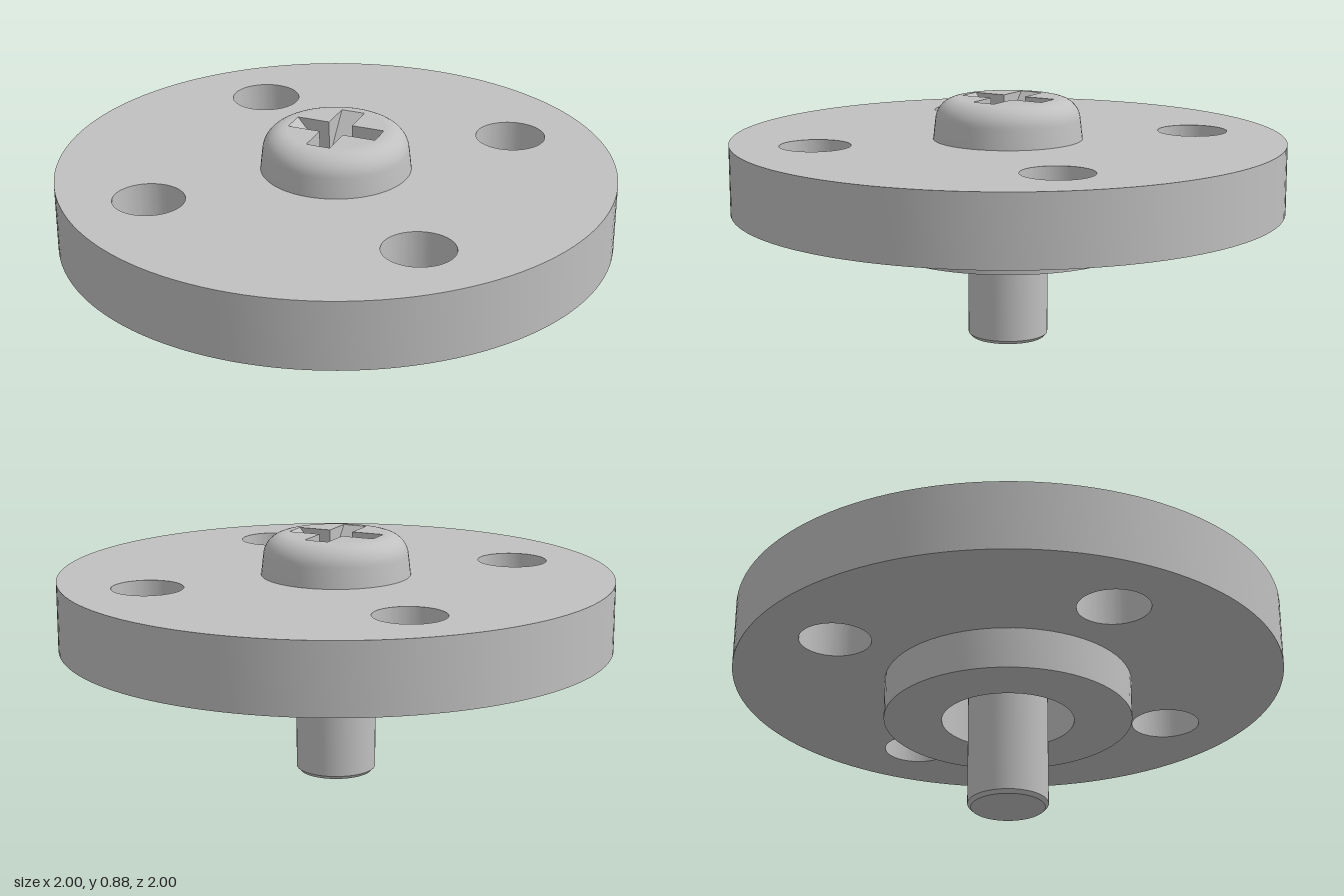
import * as THREE from 'three';
import { toCreasedNormals } from 'three/addons/utils/BufferGeometryUtils.js';

const SEG = 64;
const PLATE_BOTTOM = 0.485, PLATE_TOP = 0.735, HEAD_TOP = 0.883;
const BORE = 0.24;

// Smooth round walls, sharp rims
const crease = (geometry) => toCreasedNormals(geometry, 0.5);

const lathe = (points) =>
  crease(new THREE.LatheGeometry(points.map(([r, y]) => new THREE.Vector2(r, y)), SEG));

const circle = (Type, x, y, r) => new Type().absarc(x, y, r, 0, Math.PI * 2, false);

// Cross-shaped outline of the drive recess
function crossPath(L, w) {
  return new THREE.Path([
    [L, -w], [L, w], [w, w], [w, L], [-w, L], [-w, w],
    [-L, w], [-L, -w], [-w, -w], [-w, -L], [w, -L], [w, -w],
  ].map(([x, y]) => new THREE.Vector2(x, y)));
}

// Four arms with floors sloping down to a flat centre
function recessGeometry(L, w, top, floor) {
  const A = [L, top, -w], B = [L, top, w], C = [w, floor, w], D = [w, floor, -w];
  const E = [w, top, w], F = [w, top, -w], O = [0, floor, 0];
  const arm = [A, D, C, A, C, B, B, C, E, A, F, D, O, C, D];
  const positions = [];
  const v = new THREE.Vector3(), up = new THREE.Vector3(0, 1, 0);
  for (let i = 0; i < 4; i++) {
    for (const p of arm) {
      v.fromArray(p).applyAxisAngle(up, i * Math.PI / 2);
      positions.push(v.x, v.y, v.z);
    }
  }
  const geometry = new THREE.BufferGeometry();
  geometry.setAttribute('position', new THREE.Float32BufferAttribute(positions, 3));
  geometry.computeVertexNormals();
  return geometry;
}

export function createModel() {
  const group = new THREE.Group();
  group.name = 'flangeWithScrew';
  const metal = new THREE.MeshStandardMaterial({ color: 0xc0c0c0 });
  metal.name = 'grey metal';

  const add = (parent, name, geometry) => {
    const mesh = new THREE.Mesh(geometry, metal);
    mesh.name = name;
    parent.add(mesh);
  };

  // Round plate with four mounting holes and a central bore
  const outline = circle(THREE.Shape, 0, 0, 1);
  outline.holes.push(circle(THREE.Path, 0, 0, BORE));
  for (const x of [-0.495, 0.495]) {
    for (const y of [-0.495, 0.495]) outline.holes.push(circle(THREE.Path, x, y, 0.127));
  }
  const plate = new THREE.ExtrudeGeometry(outline, {
    depth: PLATE_TOP - PLATE_BOTTOM, bevelEnabled: false, curveSegments: SEG,
  });
  plate.rotateX(-Math.PI / 2).translate(0, PLATE_BOTTOM, 0);
  add(group, 'plate', crease(plate));

  // Raised collar under the plate
  add(group, 'collar', lathe([
    [BORE, PLATE_BOTTOM], [BORE, 0.335], [0.45, 0.335], [0.45, PLATE_BOTTOM],
  ]));

  // Screw: chamfered shank, rounded head, cross recess
  const screw = new THREE.Group();
  screw.name = 'screw';
  group.add(screw);
  add(screw, 'shank', lathe([[0, 0], [0.133, 0], [0.145, 0.013], [0.145, PLATE_TOP]]));

  const capRadius = 0.18, cornerRadius = 0.082;
  const headProfile = [[0.145, PLATE_TOP], [0.27, PLATE_TOP]];
  for (let i = 0; i <= 10; i++) {
    const a = 0.08 + (i / 10) * (Math.PI / 2 - 0.08);
    headProfile.push([
      capRadius + cornerRadius * Math.cos(a),
      HEAD_TOP - cornerRadius + cornerRadius * Math.sin(a),
    ]);
  }
  add(screw, 'head', lathe(headProfile));

  const L = 0.165, w = 0.044;
  const cap = circle(THREE.Shape, 0, 0, capRadius);
  cap.holes.push(crossPath(L, w));
  add(screw, 'headTop',
    new THREE.ShapeGeometry(cap, SEG).rotateX(-Math.PI / 2).translate(0, HEAD_TOP, 0));
  add(screw, 'driveRecess', recessGeometry(L, w, HEAD_TOP, 0.74));

  return group;
}
